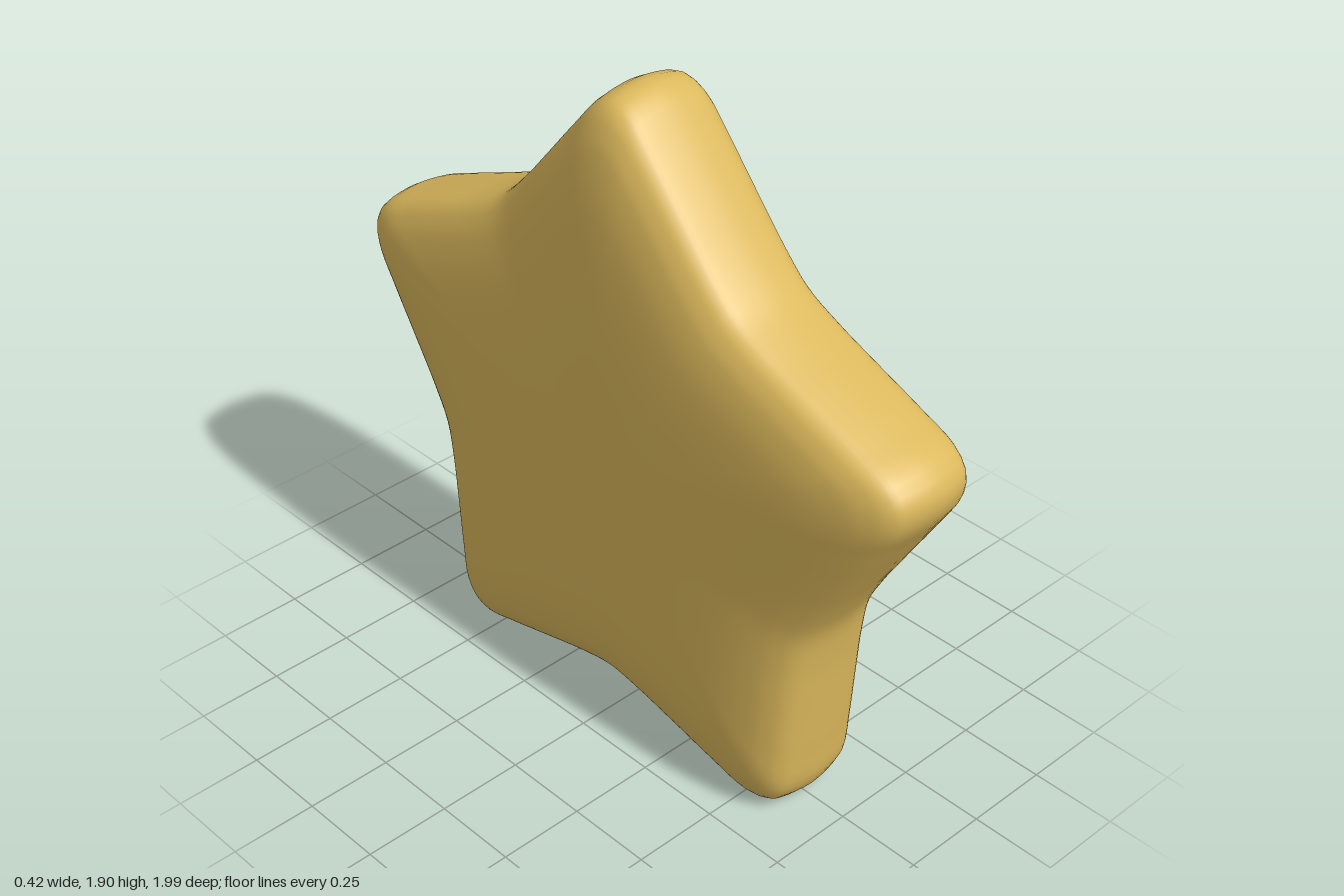
import * as THREE from 'three';

const CENTER_Y = 0.875;
const AROUND = 200;
const ACROSS = 48;

// Rounded five-pointed outline, as (y, z) offsets from the star's centre.
function starOutline() {
  // Half of one arm, tip to valley: [sideways, outward]
  const half = [[0, 1.04], [0.06, 1.018], [0.14, 0.932], [0.25, 0.803], [0.35, 0.688], [0.438, 0.603]];
  const mirrored = half.slice(1, 5).reverse().map(([v, u]) => [-v, u]);
  const arm = [...mirrored, ...half];
  const points = [];
  for (let k = 0; k < 5; k++) {
    const a = (k * Math.PI * 2) / 5;
    for (const [v, u] of arm) {
      points.push(new THREE.Vector3(0, u * Math.cos(a) - v * Math.sin(a), u * Math.sin(a) + v * Math.cos(a)));
    }
  }
  return new THREE.CatmullRomCurve3(points, true, 'centripetal').getSpacedPoints(AROUND).slice(0, AROUND);
}

// Pillow profile from one face over the rim to the other: (outline scale, x).
function pillowProfile() {
  const side = [[0, 0.21], [0.4, 0.209], [0.7, 0.2], [0.85, 0.181], [0.92, 0.16], [0.963, 0.135], [0.987, 0.095]];
  const other = side.map(([s, x]) => [s, -x]).reverse();
  const points = [...side, [1, 0], ...other].map(([s, x]) => new THREE.Vector2(s, x));
  return new THREE.SplineCurve(points).getPoints(ACROSS);
}

function starGeometry() {
  const outline = starOutline();
  const profile = pillowProfile();
  const positions = [];
  const index = [];
  for (const { x: s, y: x } of profile) {
    for (const p of outline) positions.push(x, p.y * s, p.z * s);
  }
  for (let j = 0; j < profile.length - 1; j++) {
    for (let i = 0; i < AROUND; i++) {
      const n = (i + 1) % AROUND;
      const a = j * AROUND + i, b = j * AROUND + n;
      const c = a + AROUND, d = b + AROUND;
      index.push(a, c, d, a, d, b);
    }
  }
  const geometry = new THREE.BufferGeometry();
  geometry.setAttribute('position', new THREE.Float32BufferAttribute(positions, 3));
  geometry.setIndex(index);
  geometry.computeVertexNormals();
  return geometry;
}

export function createModel() {
  const gold = new THREE.MeshStandardMaterial({ color: 0xdbb85c });
  gold.name = 'gold';

  const star = new THREE.Mesh(starGeometry(), gold);
  star.name = 'star';
  star.position.y = CENTER_Y;

  const model = new THREE.Group();
  model.name = 'puffyStar';
  model.add(star);
  return model;
}
